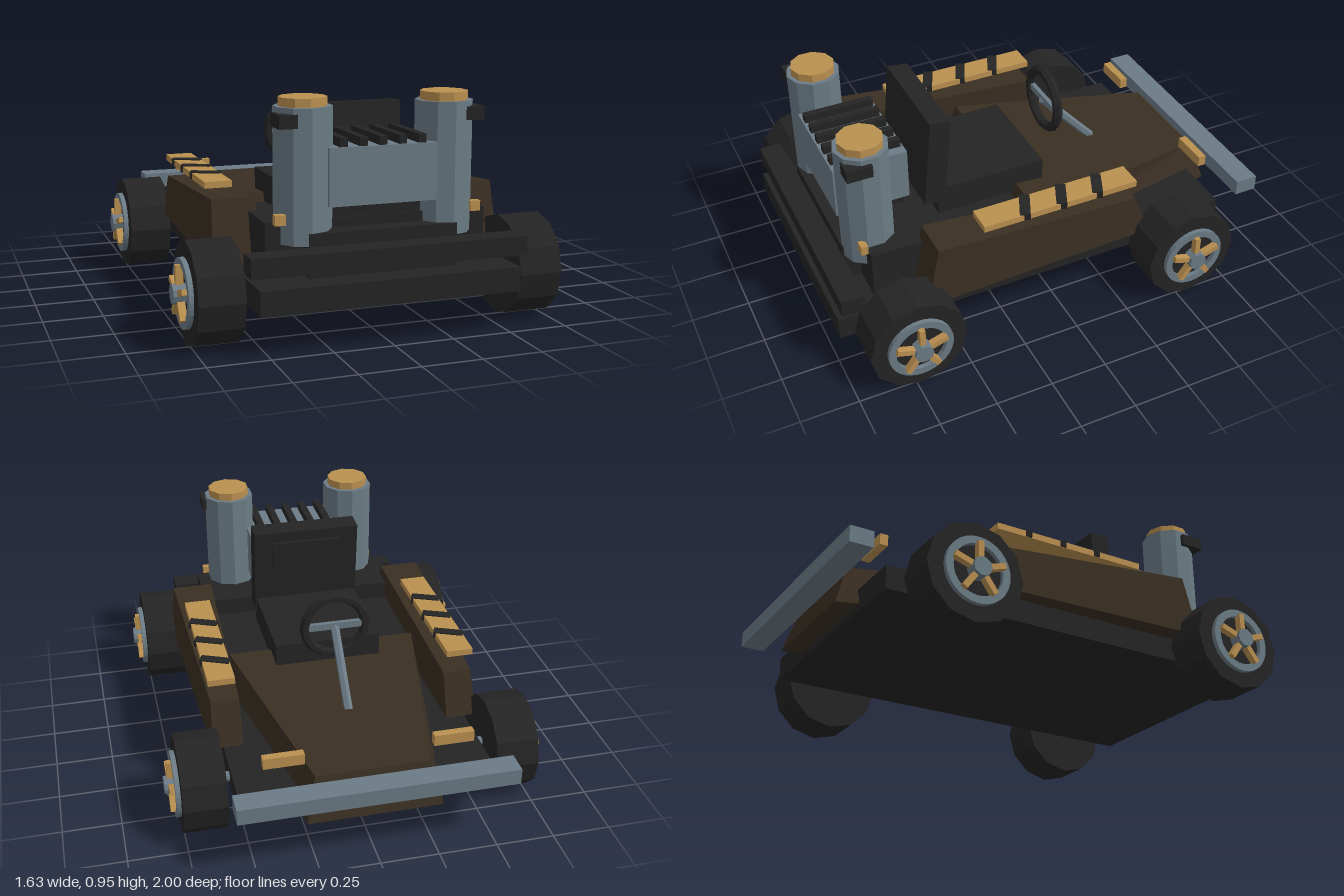
import * as THREE from 'three';

function makeMaterial(name, color) {
  const m = new THREE.MeshStandardMaterial({ color, flatShading: true });
  m.name = name;
  return m;
}

export function createModel() {
  const black = makeMaterial('black', 0x242424);
  const brown = makeMaterial('dark brown', 0x392e22);
  const steel = makeMaterial('blue grey steel', 0x6b7b85);
  const gold = makeMaterial('brass', 0xba9050);

  const kart = new THREE.Group();
  kart.name = 'kart';

  function add(name, geometry, material, x = 0, y = 0, z = 0, parent = kart) {
    const mesh = new THREE.Mesh(geometry, material);
    mesh.name = name;
    mesh.position.set(x, y, z);
    parent.add(mesh);
    return mesh;
  }
  // Box given by its extents
  function box(name, material, x0, x1, y0, y1, z0, z1, parent = kart) {
    const g = new THREE.BoxGeometry(x1 - x0, y1 - y0, z1 - z0);
    return add(name, g, material, (x0 + x1) / 2, (y0 + y1) / 2, (z0 + z1) / 2, parent);
  }
  // Six-sided block whose corners follow a rule of (sx, sy, sz) = -1 or 1
  function block(name, material, rule) {
    const g = new THREE.BoxGeometry(2, 2, 2);
    const p = g.attributes.position;
    for (let i = 0; i < p.count; i++) p.setXYZ(i, ...rule(p.getX(i), p.getY(i), p.getZ(i)));
    g.computeVertexNormals();
    return add(name, g, material);
  }
  // Cylinder lying along x
  function disc(name, material, r, x0, x1, sides, parent) {
    const g = new THREE.CylinderGeometry(r, r, x1 - x0, sides).rotateZ(Math.PI / 2);
    return add(name, g, material, (x0 + x1) / 2, 0, 0, parent);
  }

  // Chassis
  box('floor', black, -0.54, 0.54, 0.165, 0.265, -0.825, 0.995);
  box('rearBumper', black, -0.572, 0.572, 0.31, 0.388, 0.885, 0.985);
  box('engineDeck', black, -0.465, 0.465, 0.265, 0.48, 0.5, 0.81);
  box('cockpitDeck', black, -0.43, 0.43, 0.265, 0.4, 0.08, 0.5);
  box('engineMount', black, -0.31, 0.31, 0.265, 0.44, 0.5, 0.885);
  box('wing', steel, -0.58, 0.58, 0.3, 0.37, -1, -0.898);

  // Wedge nose, narrowing towards the wing
  block('nose', brown, (sx, sy, sz) => sz > 0
    ? [sx * (sy > 0 ? 0.43 : 0.45), sy > 0 ? 0.44 : 0.268, sy > 0 ? 0.05 : 0.1]
    : [sx * (sy > 0 ? 0.24 : 0.285), sy > 0 ? 0.375 : 0.19, sy > 0 ? -0.86 : -0.92]);

  // Seat
  box('seatCushion', black, -0.238, 0.238, 0.4, 0.53, -0.08, 0.42);
  const back = new THREE.Group();
  back.name = 'seatBack';
  back.position.set(0, 0.5, 0.435);
  back.rotation.x = -0.09;
  kart.add(back);
  box('backrest', black, -0.245, 0.245, -0.03, 0.38, -0.047, 0.047, back);
  box('headPad', black, -0.16, 0.16, 0.2, 0.33, -0.06, -0.045, back);

  // Steering
  add('steeringWheel', new THREE.TorusGeometry(0.135, 0.022, 6, 16), black, 0, 0.675, -0.205);
  box('steeringCrossbar', steel, -0.12, 0.12, 0.66, 0.69, -0.215, -0.195);
  const column = add('steeringColumn', new THREE.CylinderGeometry(0.02, 0.02, 0.38, 6),
    steel, 0, 0.535, -0.325);
  column.rotation.x = Math.atan2(0.25, 0.27);

  // Engine block with cooling fins
  box('engineBlock', steel, -0.225, 0.225, 0.535, 0.765, 0.545, 0.87);
  box('enginePedestal', black, -0.19, 0.19, 0.44, 0.535, 0.56, 0.8);
  for (let i = -2; i <= 2; i++) {
    box('coolingFin', black, i * 0.082 - 0.016, i * 0.082 + 0.016, 0.765, 0.8, 0.555, 0.862);
  }

  for (const s of [-1, 1]) {
    const side = (name, m, x0, x1, ...rest) =>
      box(name, m, Math.min(s * x0, s * x1), Math.max(s * x0, s * x1), ...rest);

    // Tall stacks with caps and clamps
    add('stack', new THREE.CylinderGeometry(0.116, 0.116, 0.53, 10), steel, s * 0.297, 0.655, 0.766);
    add('stackCap', new THREE.CylinderGeometry(0.096, 0.096, 0.035, 10), gold, s * 0.297, 0.9375, 0.766);
    side('stackClamp', black, 0.35, 0.425, 0.845, 0.898, 0.76, 0.87);
    side('stackBolt', gold, 0.39, 0.433, 0.47, 0.512, 0.81, 0.84);

    // Side pod
    block('sidePod', brown, (sx, sy, sz) => {
      const outer = sx * s > 0;
      const x = sz > 0 ? (outer ? 0.625 : 0.43) : (outer ? 0.59 : 0.455);
      const y = sy < 0 ? 0.27 : (sz > 0 ? 0.535 : 0.46);
      const z = sz > 0 ? (sy > 0 ? 0.575 : 0.635) : (sy > 0 ? -0.36 : -0.43);
      return [s * (x - (outer && sy > 0 ? 0.012 : 0)), y, z];
    });

    // Brass strip with slanted dark bands
    side('podStrip', gold, 0.468, 0.585, 0.535, 0.563, -0.355, 0.36);
    for (const z of [-0.19, -0.02, 0.15]) {
      const band = add('stripBand', new THREE.BoxGeometry(0.13, 0.031, 0.045), black, s * 0.527, 0.552, z);
      band.rotation.y = -0.42;
    }

    side('noseLight', gold, 0.27, 0.44, 0.405, 0.453, -0.81, -0.775);

    // Wheels
    for (const [name, z] of [['noseWheel', -0.555], ['engineWheel', 0.73]]) {
      const wheel = new THREE.Group();
      wheel.name = name;
      wheel.position.set(0, 0.21, z);
      if (s < 0) wheel.rotation.y = Math.PI;
      kart.add(wheel);
      disc('tyre', black, 0.21, 0.575, 0.76, 12, wheel);
      disc('axle', steel, 0.022, 0.5, 0.79, 8, wheel);
      disc('hub', steel, 0.04, 0.76, 0.815, 10, wheel);
      const ring = new THREE.Shape().absarc(0, 0, 0.14, 0, Math.PI * 2);
      ring.holes.push(new THREE.Path().absarc(0, 0, 0.108, 0, Math.PI * 2, true));
      const rim = new THREE.ExtrudeGeometry(ring, { depth: 0.025, bevelEnabled: false, curveSegments: 16 });
      add('rim', rim.rotateY(Math.PI / 2), steel, 0.755, 0, 0, wheel);
      for (let i = 0; i < 5; i++) {
        const g = new THREE.BoxGeometry(0.03, 0.085, 0.024).translate(0, 0.072, 0);
        add('spoke', g, gold, 0.785, 0, 0, wheel).rotation.x = i * Math.PI * 0.4;
      }
    }
  }
  return kart;
}
